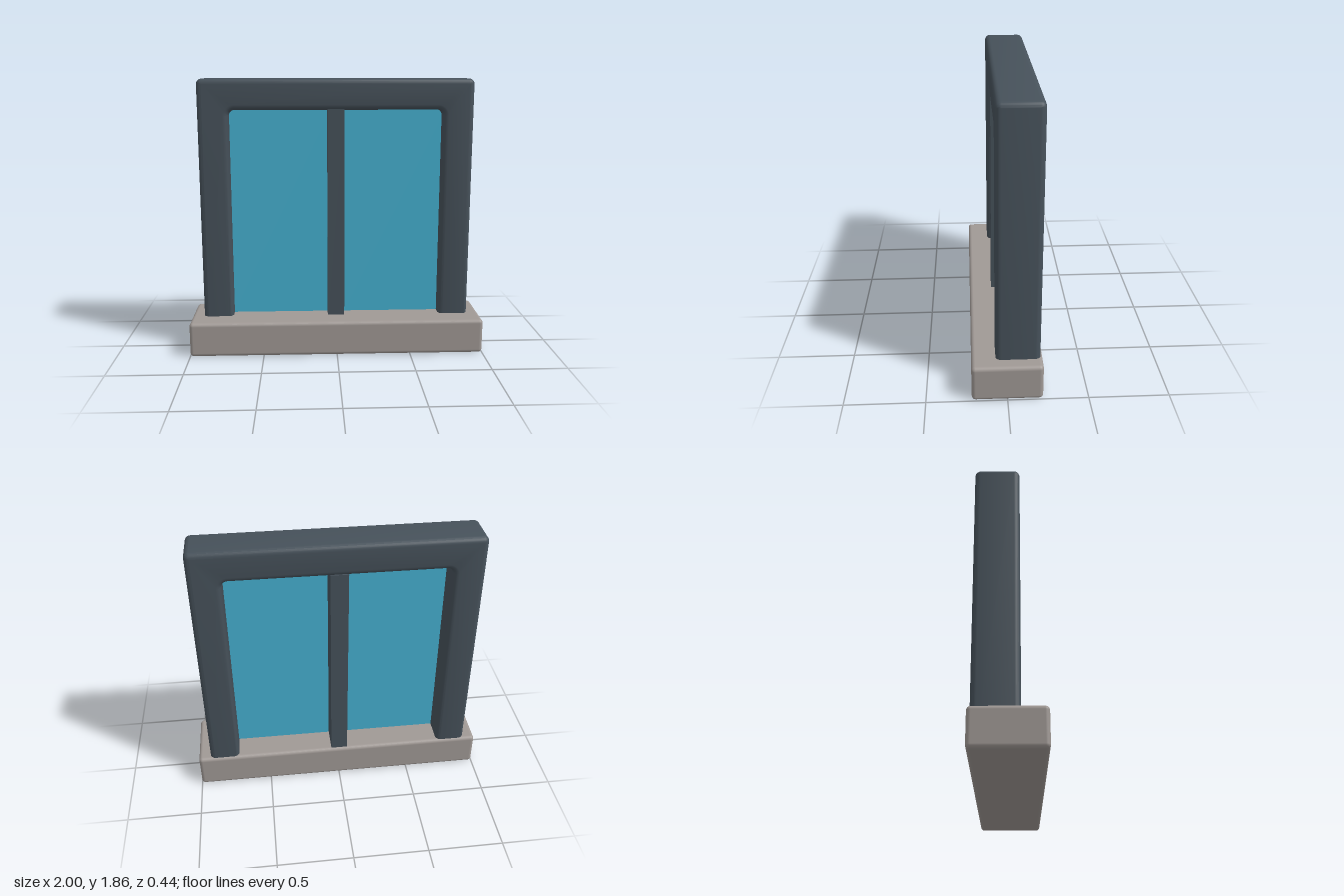
import * as THREE from 'three';
import { toCreasedNormals } from 'three/addons/utils/BufferGeometryUtils.js';
import { RoundedBoxGeometry } from 'three/addons/geometries/RoundedBoxGeometry.js';

const material = (name, color) => {
  const m = new THREE.MeshStandardMaterial({ color });
  m.name = name;
  return m;
};

export function createModel() {
  const slate = material('slate frame', 0x46515a);
  const blue = material('blue glass', 0x45b0d0);
  const stone = material('stone sill', 0xa09995);

  const model = new THREE.Group();
  model.name = 'window';
  const add = (name, geometry, mat, x, y, z) => {
    const mesh = new THREE.Mesh(geometry, mat);
    mesh.name = name;
    mesh.position.set(x, y, z);
    model.add(mesh);
  };

  // Depth of the frame along z
  const back = -0.207, front = 0.07, depth = front - back;

  // Sill
  add('sill', new RoundedBoxGeometry(2, 0.237, 0.44, 4, 0.025), stone, 0, 0.1185, 0);

  // Frame: an upside-down U with rounded corners and soft edges
  const outer = 0.917, inner = 0.714, top = 1.857, head = 1.653, foot = 0.06;
  const ro = 0.036, ri = 0.04, bevel = 0.034;
  const shape = new THREE.Shape();
  shape.moveTo(-outer, foot);
  shape.lineTo(-inner, foot);
  shape.lineTo(-inner, head - ri);
  shape.absarc(-inner + ri, head - ri, ri, Math.PI, Math.PI / 2, true);
  shape.lineTo(inner - ri, head);
  shape.absarc(inner - ri, head - ri, ri, Math.PI / 2, 0, true);
  shape.lineTo(inner, foot);
  shape.lineTo(outer, foot);
  shape.lineTo(outer, top - ro);
  shape.absarc(outer - ro, top - ro, ro, 0, Math.PI / 2, false);
  shape.lineTo(-outer + ro, top);
  shape.absarc(-outer + ro, top - ro, ro, Math.PI / 2, Math.PI, false);
  shape.closePath();
  const frame = new THREE.ExtrudeGeometry(shape, {
    depth: depth - 2 * bevel, curveSegments: 6,
    bevelEnabled: true, bevelSize: bevel, bevelThickness: bevel,
    bevelOffset: -bevel, bevelSegments: 5,
  });
  add('frame', toCreasedNormals(frame, 0.6), slate, 0, 0, back + bevel);

  // Central upright between the panes
  add('mullion', new THREE.BoxGeometry(0.114, 1.51, depth - 0.008), slate,
    -0.002, 0.905, (front + back) / 2);

  // Two panes, set into the frame and the mullion
  for (const side of [-1, 1]) {
    add(side > 0 ? 'leftPane' : 'rightPane', new THREE.BoxGeometry(0.72, 1.5, 0.014), blue,
      side * 0.385, 0.92, -0.025);
  }
  return model;
}
